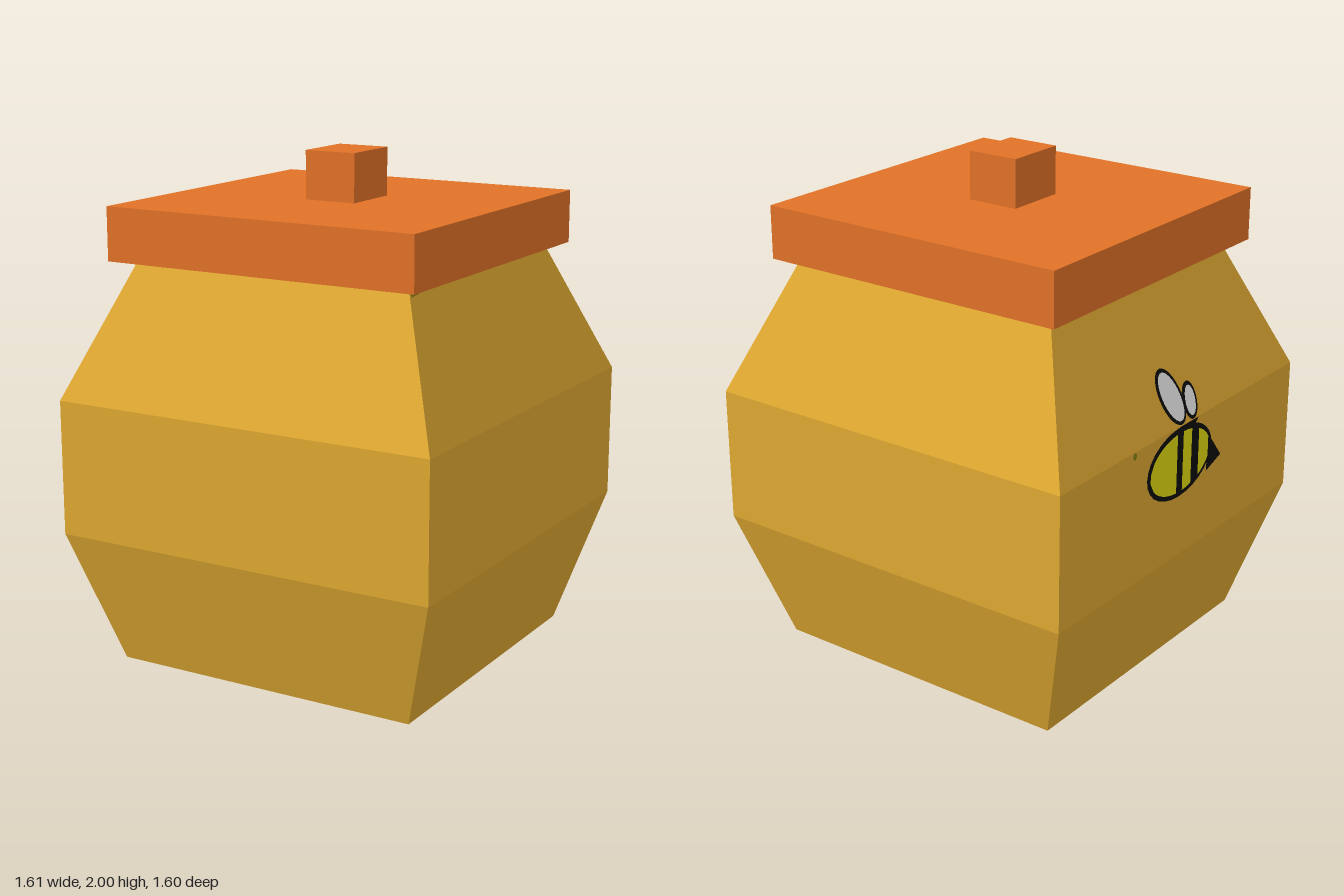
import * as THREE from 'three';

const mat = (name, color) => Object.assign(new THREE.MeshStandardMaterial({ color }), { name });

export function createModel() {
  const honey = mat('honey jar', 0xe1aa32);
  const orange = mat('orange lid', 0xe27228);
  const black = mat('bee black', 0x0c0c0c);
  const yellow = mat('bee yellow', 0xe4dc10);
  const white = mat('wing white', 0xededed);
  const olive = mat('olive patch', 0x8a8214);

  const model = new THREE.Group();
  model.name = 'honeyJar';
  const add = (parent, name, geometry, material) => {
    const mesh = new THREE.Mesh(geometry, material);
    mesh.name = name;
    parent.add(mesh);
    return mesh;
  };

  // Four-sided jar: half widths by height, closed at both ends
  const profile = [[0, 0], [0.64, 0], [0.8, 0.535], [0.8, 1.07], [0.585, 1.6], [0, 1.6]]
    .map(([r, y]) => new THREE.Vector2(r * Math.SQRT2, y));
  const jar = new THREE.LatheGeometry(profile, 4).rotateY(Math.PI / 4).toNonIndexed();
  const p = jar.attributes.position;
  for (let i = 0; i < p.count; i++) if (p.getY(i) > 1.5) p.setZ(i, p.getZ(i) * 0.965);
  jar.computeVertexNormals();
  add(model, 'jar', jar, honey);

  // Lid and its square knob
  const box = (name, x0, x1, y0, y1, z0, z1) =>
    add(model, name, new THREE.BoxGeometry(x1 - x0, y1 - y0, z1 - z0), orange)
      .position.set((x0 + x1) / 2, (y0 + y1) / 2, (z0 + z1) / 2);
  box('lid', -0.66, 0.655, 1.6, 1.81, -0.65, 0.655);
  box('knob', -0.11, 0.105, 1.81, 2, -0.135, 0.12);

  // Lays a flat shape (z across, y up) on the jar's right side, following the slope
  const decal = (parent, name, points, material, lift) => {
    const shape = new THREE.Shape(points.map(([a, b]) => new THREE.Vector2(a, b)));
    const g = new THREE.ShapeGeometry(shape);
    const q = g.attributes.position;
    for (let i = 0; i < q.count; i++) {
      const z = q.getX(i), y = q.getY(i);
      q.setXYZ(i, -0.8 - lift + Math.max(0, y - 1.07) * 0.4057, y, z);
    }
    g.computeVertexNormals();
    return add(parent, name, g, material);
  };
  const ellipse = (cz, cy, rz, ry, tilt = 0) =>
    new THREE.EllipseCurve(cz, cy, rz, ry, 0, Math.PI * 2, false, tilt)
      .getPoints(28).slice(0, -1).map(v => [v.x, v.y]);

  const bee = new THREE.Group();
  bee.name = 'bee';
  model.add(bee);

  // Body outline, sting and feeler
  const cz = -0.03, cy = 0.925;
  decal(bee, 'bodyOutline', ellipse(cz, cy, 0.225, 0.142), black, 0.002);
  decal(bee, 'sting', [[0.16, 0.82], [0.265, 0.855], [0.17, 0.97]], black, 0.003);
  decal(bee, 'wingJoint', [[-0.07, 1.04], [0.06, 1.04], [0.09, 1.069], [-0.04, 1.069]], black, 0.003);
  decal(bee, 'feeler', ellipse(-0.34, 1.055, 0.012, 0.014), olive, 0.002);

  // Yellow bands between the black stripes
  for (const [z0, z1] of [[-0.235, -0.055], [-0.015, 0.045], [0.095, 0.165]]) {
    const top = [], bottom = [];
    for (let i = 0; i <= 8; i++) {
      const z = z0 + (z1 - z0) * i / 8;
      const h = 0.12 * Math.sqrt(Math.max(0, 1 - ((z - cz) / 0.207) ** 2)) + 0.001;
      bottom.push([z, cy - h]);
      top.unshift([z, cy + h]);
    }
    decal(bee, 'yellowBand', [...bottom, ...top], yellow, 0.005);
  }

  // Two wings on the sloped shoulder
  for (const [name, z, y, rz, ry, tilt] of [
    ['largeWing', -0.04, 1.18, 0.068, 0.11, 0.3],
    ['smallWing', 0.068, 1.138, 0.046, 0.068, -0.25]]) {
    decal(bee, name + 'Outline', ellipse(z, y, rz, ry, tilt), black, 0.002);
    decal(bee, name, ellipse(z, y, rz - 0.014, ry - 0.014, tilt), white, 0.005);
  }

  // Small olive patches: left shoulder just under the lid, and a corner of the base
  const patch = new THREE.Group();
  patch.name = 'shoulderPatch';
  patch.rotation.y = Math.PI;
  model.add(patch);
  decal(patch, 'patch', [[-0.572, 1.57], [-0.51, 1.575], [-0.44, 1.599], [-0.562, 1.599]], olive, 0.003);

  const corner = new THREE.Shape([[-0.635, 0.635], [-0.61, 0.6], [-0.5, 0.635]]
    .map(([x, z]) => new THREE.Vector2(x, z)));
  add(model, 'basePatch', new THREE.ShapeGeometry(corner).rotateX(Math.PI / 2), olive).position.y = -0.001;

  return model;
}
